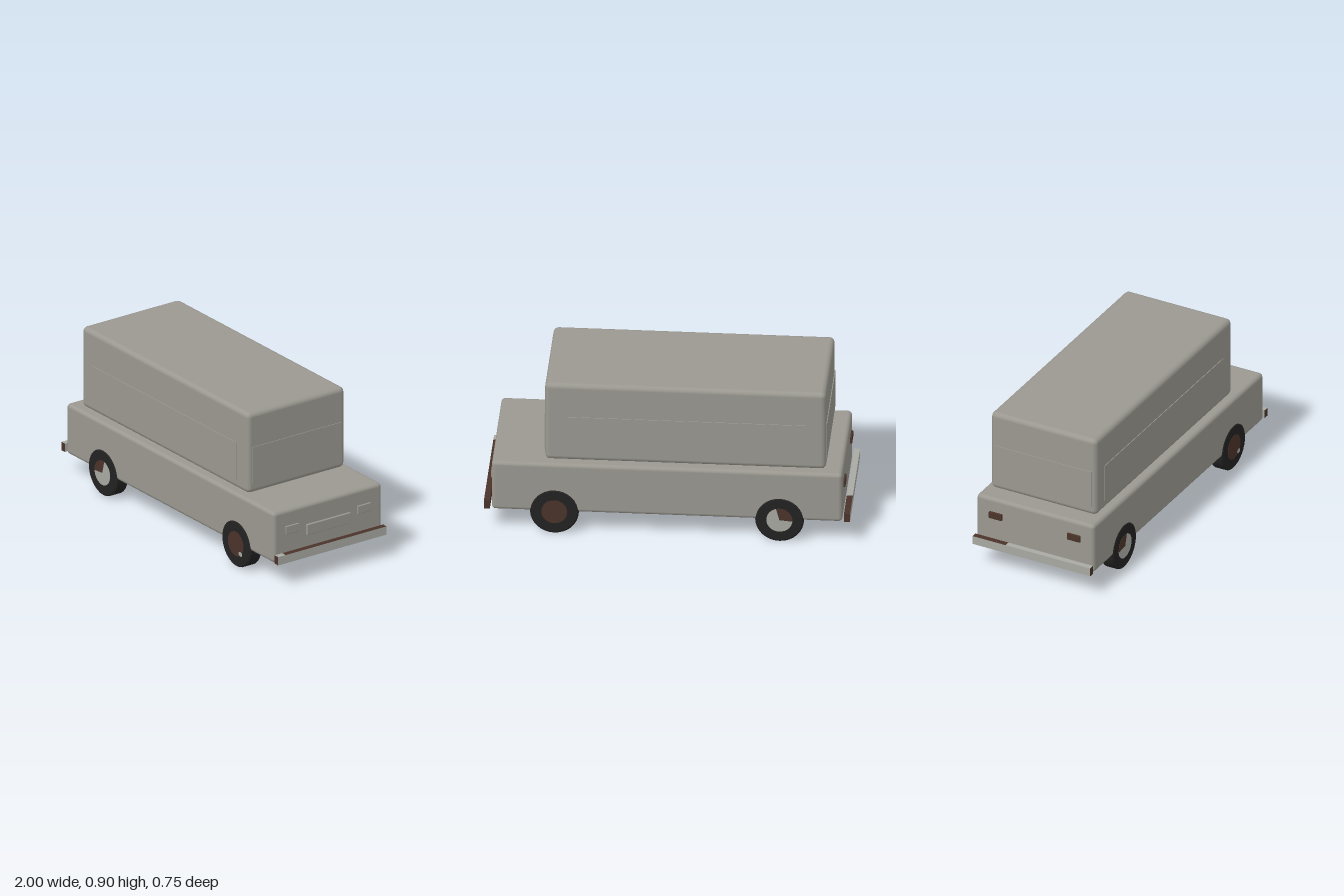
import * as THREE from 'three';
import { RoundedBoxGeometry } from 'three/addons/geometries/RoundedBoxGeometry.js';

const mat = (name, color) => {
  const m = new THREE.MeshStandardMaterial({ color });
  m.name = name;
  return m;
};

export function createModel() {
  const paint = mat('grey paint', 0x9a9890);
  const chrome = mat('pale metal', 0xa9a9a3);
  const rust = mat('rust brown', 0x4a3329);
  const rubber = mat('black rubber', 0x222222);
  const model = new THREE.Group();
  model.name = 'van';

  const add = (name, geometry, material, parent = model) => {
    const mesh = new THREE.Mesh(geometry, material);
    mesh.name = name;
    parent.add(mesh);
    return mesh;
  };
  // Box given by its limits on each axis, rounded when r > 0
  const box = (name, x0, x1, y0, y1, z0, z1, material, r = 0) => {
    const size = [x1 - x0, y1 - y0, z1 - z0];
    const geo = r ? new RoundedBoxGeometry(...size, 2, r) : new THREE.BoxGeometry(...size);
    add(name, geo, material).position.set((x0 + x1) / 2, (y0 + y1) / 2, (z0 + z1) / 2);
  };

  // Lower body and cabin
  box('body', -0.958, 0.958, 0.13, 0.427, -0.366, 0.366, paint, 0.022);
  box('cabin', -0.866, 0.67, 0.432, 0.905, -0.329, 0.329, paint, 0.028);

  // Window panels, barely proud of the cabin walls
  for (const s of [-1, 1]) {
    const z = s * 0.329;
    box('sideWindow', -0.77, 0.565, 0.485, 0.705, z - 0.004, z + 0.004, paint);
    const x = s > 0 ? 0.67 : -0.866;
    box('endWindow', x - 0.004, x + 0.004, 0.485, 0.705, -0.3, 0.3, paint);
  }

  // Lamps at both ends, plus the grille
  for (const s of [-1, 1]) {
    const z = s * 0.243;
    box('headlight', 0.955, 0.966, 0.284, 0.333, z - 0.045, z + 0.045, paint, 0.004);
    box('tailLight', -0.969, -0.955, 0.305, 0.345, z - 0.041, z + 0.041, rust, 0.004);
  }
  box('grille', 0.955, 0.97, 0.247, 0.31, -0.147, 0.147, paint, 0.004);

  // Bumpers: pale outer faces, partly rusted tops and ends
  const worn = (outer) => [0, 1, 2, 3, 4, 5].map((i) => (i === outer ? chrome : rust));
  const clean = [chrome, chrome, chrome, chrome, rust, chrome];
  box('frontBumper', 0.967, 1, 0.135, 0.184, -0.366, 0.315, worn(0));
  box('frontBumperTip', 0.967, 1, 0.135, 0.184, 0.315, 0.366, clean);
  box('rearBumper', -1, -0.967, 0.135, 0.184, -0.366, -0.16, worn(1));
  box('rearBumperClean', -1, -0.967, 0.135, 0.184, -0.16, 0.366, clean);

  // Tyre ring around the z axis
  const tyre = new THREE.LatheGeometry(
    [[0.07, -0.04], [0.124, -0.04], [0.133, -0.034], [0.133, 0.034], [0.124, 0.04], [0.07, 0.04]]
      .map(([r, y]) => new THREE.Vector2(r, y)), 32).rotateX(Math.PI / 2).toNonIndexed();
  tyre.computeVertexNormals();

  // Hub wedge between two angles measured from +x towards +y
  const wedge = (from, to) => new THREE.CylinderGeometry(0.071, 0.071, 0.084, 32, 1, false,
    THREE.MathUtils.degToRad(from + 90), THREE.MathUtils.degToRad(to - from)).rotateX(Math.PI / 2);

  for (const sx of [-1, 1]) for (const sz of [-1, 1]) {
    const wheel = new THREE.Group();
    wheel.name = 'wheel';
    wheel.position.set(sx * 0.615, 0.133, sz * 0.33);
    model.add(wheel);
    add('tyre', tyre, rubber, wheel);
    if (sx < 0) {
      add('hub', wedge(-175, 75), chrome, wheel);
      add('hubRust', wedge(75, 185), rust, wheel);
    } else {
      add('hubRust', wedge(0, 360), rust, wheel);
      if (sz > 0) {
        // Small unrusted spot
        const spot = new THREE.CircleGeometry(0.016, 8).scale(1.1, 0.9, 1);
        add('hubSpot', spot, chrome, wheel).position.set(0.046, -0.046, 0.0435);
      }
    }
  }
  return model;
}
